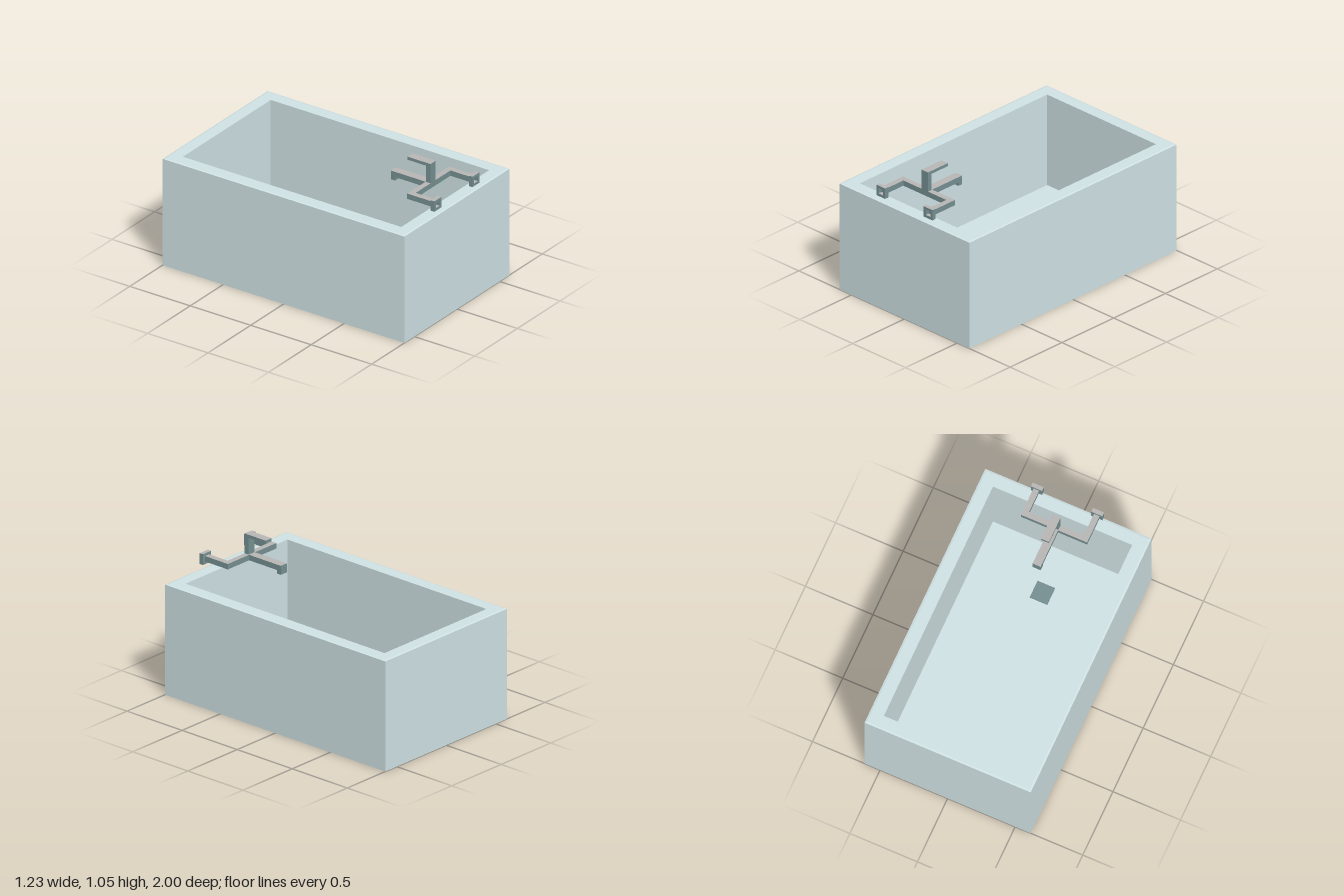
import * as THREE from 'three';

const enamel = new THREE.MeshStandardMaterial({ name: 'pale enamel', color: 0xd1e3e5 });
const metal = new THREE.MeshStandardMaterial({ name: 'dark metal', color: 0x769092 });
const metalTop = new THREE.MeshStandardMaterial({ name: 'grey metal top', color: 0xb9b6b6 });
// box faces: +x, -x, +y, -y, +z, -z
const tapMaterials = [metal, metal, metalTop, metal, metal, metal];

// Box given by its limits on each axis
function bar(name, [x0, x1], [y0, y1], [z0, z1], material = tapMaterials) {
  const mesh = new THREE.Mesh(new THREE.BoxGeometry(x1 - x0, y1 - y0, z1 - z0), material);
  mesh.position.set((x0 + x1) / 2, (y0 + y1) / 2, (z0 + z1) / 2);
  mesh.name = name;
  return mesh;
}

// Skin over a run of rectangular rings [halfX, halfZ, y], closed at both ends;
// the starting cap is material group 0, the rest is group 1
function rectangularLoft(rings) {
  const corner = ([hx, hz, y], i) => {
    const [sx, sz] = [[1, 1], [1, -1], [-1, -1], [-1, 1]][i % 4];
    return [sx * hx, y, sz * hz];
  };
  const points = [];
  const quad = (a, b, c, d) => points.push(...a, ...b, ...c, ...a, ...c, ...d);
  quad(...[3, 2, 1, 0].map((i) => corner(rings[0], i)));
  for (let r = 0; r < rings.length - 1; r++) {
    for (let i = 0; i < 4; i++) {
      quad(corner(rings[r], i), corner(rings[r], i + 1), corner(rings[r + 1], i + 1), corner(rings[r + 1], i));
    }
  }
  quad(...[0, 1, 2, 3].map((i) => corner(rings[rings.length - 1], i)));
  const geometry = new THREE.BufferGeometry();
  geometry.setAttribute('position', new THREE.Float32BufferAttribute(points, 3));
  geometry.computeVertexNormals();
  geometry.addGroup(0, 6, 0);
  geometry.addGroup(6, points.length / 3 - 6, 1);
  return geometry;
}

export function createModel() {
  const model = new THREE.Group();
  model.name = 'bathtub';

  // Tub: dark underside, outer walls, slight rim bevel, rim, inner walls and floor
  const tub = new THREE.Mesh(rectangularLoft([
    [0.615, 1, 0], [0.615, 1, 0.807], [0.602, 0.987, 0.81], [0.515, 0.903, 0.81], [0.515, 0.903, 0.12],
  ]), [metal, enamel]);
  tub.name = 'tub';
  model.add(tub);

  // Drain plate on the floor beneath the spout
  model.add(bar('drain', [-0.065, 0.065], [0.12, 0.128], [0.505, 0.635], metal));

  // Tap
  const tap = new THREE.Group();
  tap.name = 'tap';
  const pipeY = [0.869, 0.909];
  tap.add(
    bar('crossbar', [-0.245, 0.245], pipeY, [0.762, 0.803]),
    bar('spout', [-0.03, 0.03], pipeY, [0.51, 0.762]),
    bar('spoutTip', [-0.03, 0.03], [0.843, 0.909], [0.474, 0.51]),
    bar('stem', [-0.03, 0.03], [0.909, 1.055], [0.767, 0.803]),
    bar('lever', [-0.03, 0.03], [1.032, 1.055], [0.612, 0.767]),
  );

  // Supply arms, each ending in a square flange with an open centre
  for (const side of [-1, 1]) {
    const span = (a, b) => (side > 0 ? [a, b] : [-b, -a]);
    const flangeZ = [0.97, 1];
    const flange = new THREE.Group();
    flange.name = 'flange';
    flange.add(
      bar('flangeTop', span(0.182, 0.265), [0.909, 0.928], flangeZ),
      bar('flangeBottom', span(0.182, 0.265), [0.849, 0.869], flangeZ),
      bar('flangeInnerSide', span(0.182, 0.203), pipeY, flangeZ),
      bar('flangeOuterSide', span(0.245, 0.265), pipeY, flangeZ),
    );
    tap.add(bar('supplyArm', span(0.203, 0.245), pipeY, [0.803, 0.97]), flange);
  }
  model.add(tap);
  return model;
}
